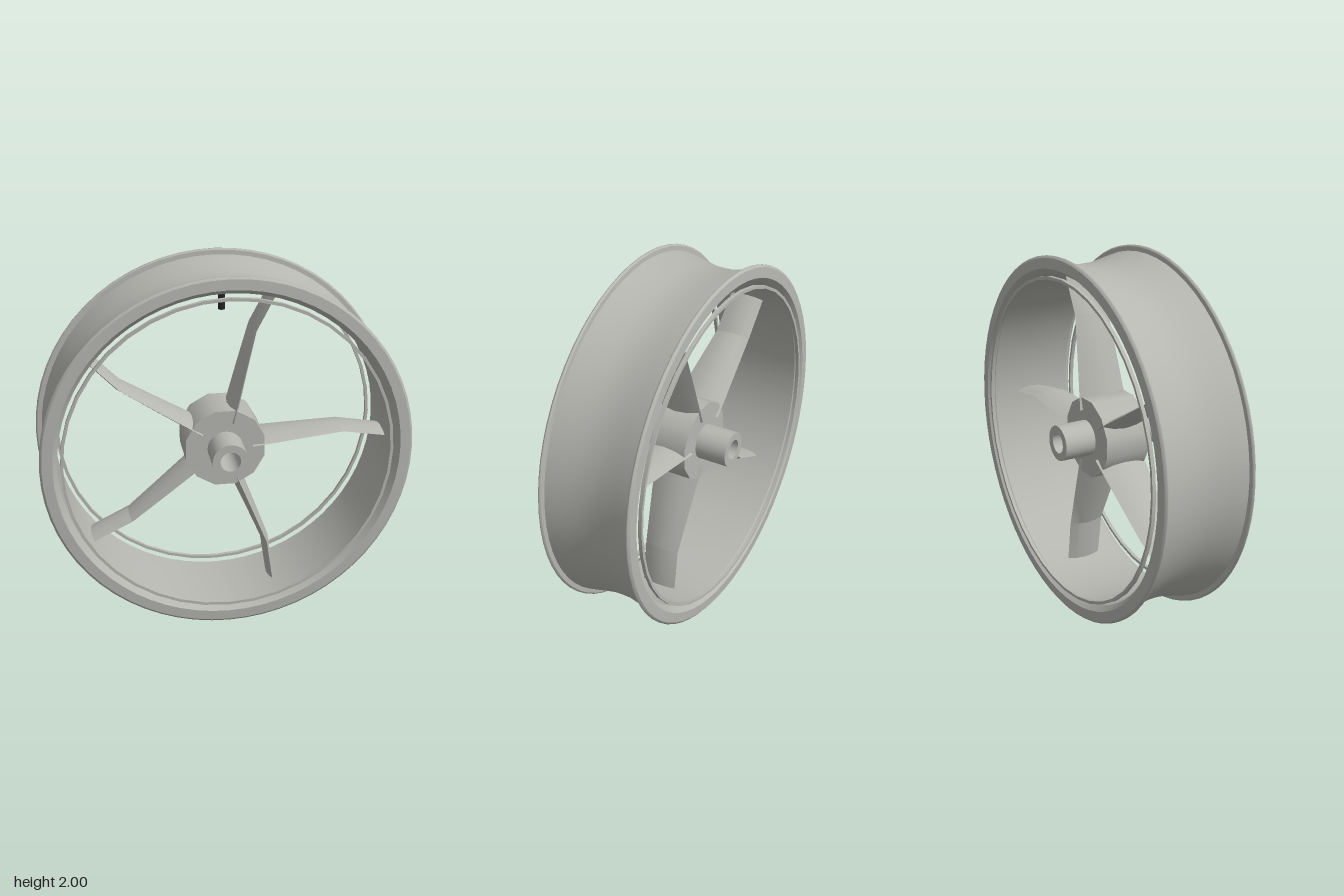
import * as THREE from 'three';
import { mergeGeometries, toCreasedNormals } from 'three/addons/utils/BufferGeometryUtils.js';

const metal = new THREE.MeshStandardMaterial({ color: 0xb6b6b1 });
metal.name = 'wheel grey';
const rubber = new THREE.MeshStandardMaterial({ color: 0x242424 });
rubber.name = 'valve black';

// Revolves runs of [radius, z] points around the z axis; edges between runs stay sharp.
function revolve(runs, segments, phase = 0) {
  const parts = runs.map(run => new THREE.LatheGeometry(
    run.map(([r, z]) => new THREE.Vector2(r, z)), segments, phase));
  return mergeGeometries(parts).rotateX(Math.PI / 2);
}

// Splits a closed profile into one sharp-edged run per side.
const sharp = points => points.map((p, i) => [p, points[(i + 1) % points.length]]);

function tube(inner, outer, z0, z1) {
  return sharp([[outer, z0], [outer, z1], [inner, z1], [inner, z0]]);
}

// Curved blade along +x: a lens section, widest at the hub, kinked near the rim.
function spokeGeometry() {
  // [x, sideways offset, half thickness, half width in z]
  const sections = [
    [0.15, 0.004, 0.034, 0.145],
    [0.42, 0.024, 0.027, 0.122],
    [0.66, 0.04, 0.021, 0.102],
    [0.893, 0.0, 0.02, 0.1],
  ];
  const outline = [];
  for (let k = 0; k < 4; k++) outline.push([1, -1 + k / 2]);
  for (let k = 0; k < 4; k++) outline.push([-1, 1 - k / 2]);
  const n = outline.length;
  const positions = [], index = [];
  for (const [x, c, t, w] of sections) {
    for (const [side, s] of outline) positions.push(x, c + side * t * (1 - s * s), w * s);
  }
  for (let i = 0; i < sections.length - 1; i++) {
    for (let j = 0; j < n; j++) {
      const a = i * n + j, b = i * n + (j + 1) % n;
      index.push(a, b, a + n, b, b + n, a + n);
    }
  }
  // end cap at the rim
  const last = (sections.length - 1) * n;
  for (let j = 1; j < n - 1; j++) index.push(last, last + j, last + j + 1);
  const g = new THREE.BufferGeometry();
  g.setAttribute('position', new THREE.Float32BufferAttribute(positions, 3));
  g.setIndex(index);
  return toCreasedNormals(g, 0.25);
}

export function createModel() {
  const model = new THREE.Group();
  model.name = 'wheel';
  const wheel = new THREE.Group();
  wheel.name = 'wheelAssembly';
  wheel.position.y = 1;
  model.add(wheel);

  const add = (name, geometry, material = metal) => {
    const mesh = new THREE.Mesh(geometry, material);
    mesh.name = name;
    wheel.add(mesh);
    return mesh;
  };

  // rim: dished barrel, rolled flanges and a smooth inner wall
  add('rim', revolve([
    [[0.968, -0.245], [0.95, -0.16], [0.932, -0.07], [0.93, 0], [0.932, 0.07], [0.95, 0.16], [0.968, 0.245]],
    [[0.968, 0.245], [0.992, 0.247]],
    [[0.992, 0.247], [1, 0.253], [1, 0.26], [0.988, 0.269]],
    [[0.988, 0.269], [0.932, 0.272]],
    [[0.932, 0.272], [0.904, 0.235]],
    [[0.904, 0.235], [0.9, 0], [0.904, -0.235]],
    [[0.904, -0.235], [0.932, -0.272]],
    [[0.932, -0.272], [0.988, -0.269]],
    [[0.988, -0.269], [1, -0.26], [1, -0.253], [0.992, -0.247]],
    [[0.992, -0.247], [0.968, -0.245]],
  ], 64));

  // thin lip rings just inside each flange
  add('frontLipRing', revolve(tube(0.876, 0.892, 0.255, 0.275), 40));
  add('backLipRing', revolve(tube(0.876, 0.892, -0.275, -0.255), 40));

  // hub drum and hollow axle
  add('hub', revolve(tube(0.07, 0.222, -0.13, 0.13), 12, Math.PI / 12));
  add('axle', revolve(tube(0.055, 0.097, -0.308, 0.308), 32));

  // five spokes
  const spoke = spokeGeometry();
  for (let i = 0; i < 5; i++) {
    add('spoke' + (i + 1), spoke).rotation.z = i * Math.PI * 2 / 5;
  }

  // tyre valve hanging inside the rim
  const valve = new THREE.CylinderGeometry(0.018, 0.018, 0.157, 12);
  add('valve', valve, rubber).position.y = 0.8235;

  return model;
}
